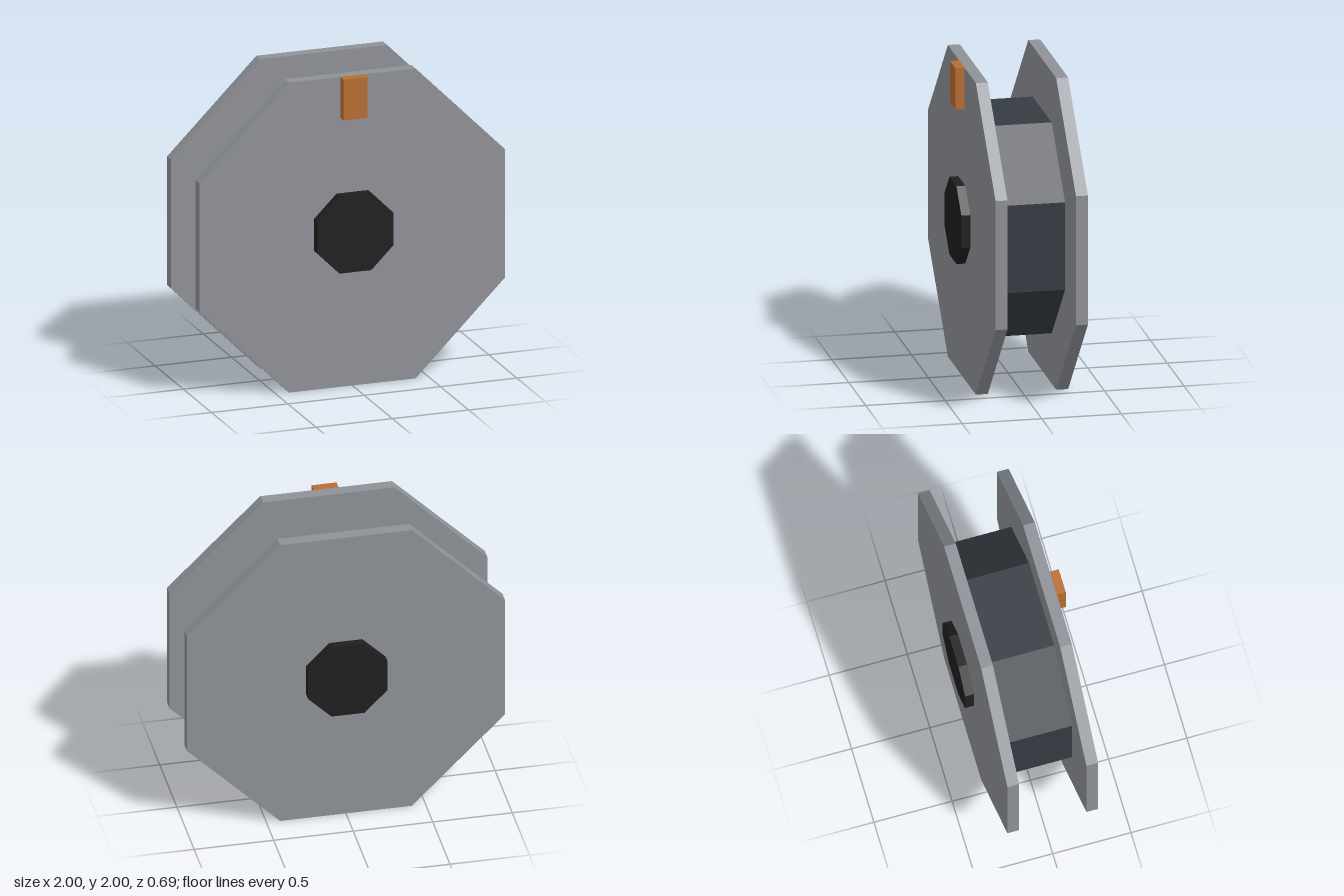
import * as THREE from 'three';

const material = (name, color) => {
  const m = new THREE.MeshStandardMaterial({ color, flatShading: true });
  m.name = name;
  return m;
};

export function createModel() {
  const model = new THREE.Group();
  model.name = 'spool';
  const grey = material('flangeGrey', 0x8e9197);
  const slate = material('woundSlate', 0x363b42);
  const black = material('hubBlack', 0x1f1f1f);
  const orange = material('tabOrange', 0xb96d32);

  // Octagonal disc lying along z with flats at top and bottom
  const addOctagon = (name, mat, apothem, depth, z) => {
    const radius = apothem / Math.cos(Math.PI / 8);
    const geo = new THREE.CylinderGeometry(radius, radius, depth, 8, 1, false, Math.PI / 8);
    geo.rotateX(Math.PI / 2);
    const mesh = new THREE.Mesh(geo, mat);
    mesh.name = name;
    mesh.position.set(0, 1, z);
    model.add(mesh);
  };

  // Wound drum between the flanges
  addOctagon('drum', slate, 0.677, 0.43, 0);

  // Flange and hub cap on each side
  for (const [side, s] of [['front', 1], ['back', -1]]) {
    addOctagon(side + 'Flange', grey, 1, 0.075, s * 0.2525);
    addOctagon(side + 'HubCap', black, 0.25, 0.057, s * 0.3175);
  }

  // Tab on the front rim
  const tab = new THREE.Mesh(new THREE.BoxGeometry(0.157, 0.265, 0.058), orange);
  tab.name = 'rimTab';
  tab.position.set(0, 1.8675, 0.318);
  model.add(tab);

  return model;
}
